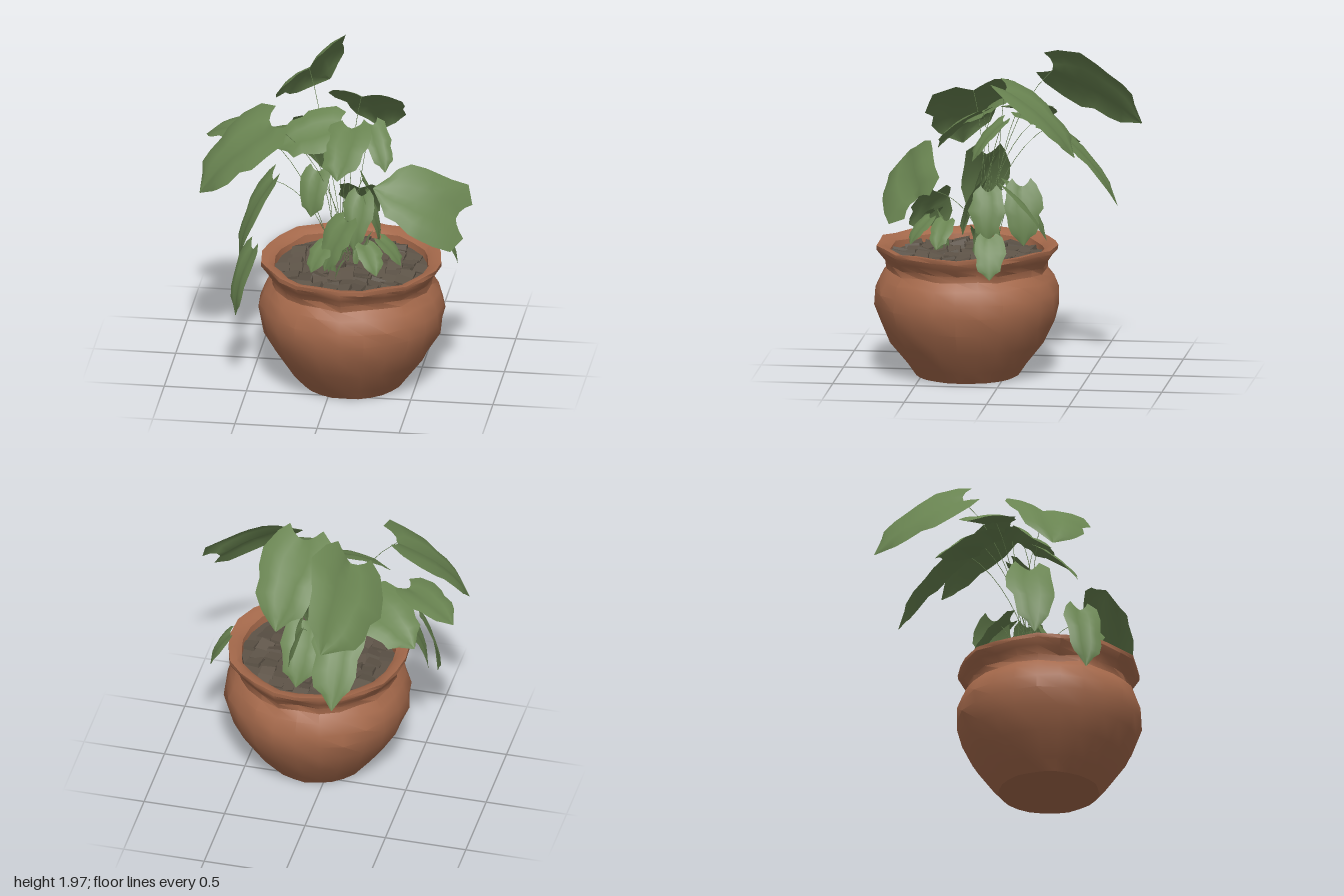
import * as THREE from 'three';
import { mergeVertices, mergeGeometries, toCreasedNormals } from 'three/addons/utils/BufferGeometryUtils.js';

const POT_X = 0.105, POT_Z = 0.235;
const V = (p) => new THREE.Vector3(...p);

function seeded(seed) {
  return () => {
    seed = (seed * 16807) % 2147483647;
    return seed / 2147483647;
  };
}

// Hand-thrown pot: a turned profile with slight dents
function potGeometry() {
  const profile = [
    [0, 0.01], [0.27, 0.01], [0.305, 0.005], [0.365, 0.08], [0.46, 0.21], [0.53, 0.34], [0.56, 0.45],
    [0.558, 0.53], [0.53, 0.61], [0.488, 0.66], [0.49, 0.7], [0.52, 0.745], [0.545, 0.785], [0.545, 0.81],
    [0.5, 0.805], [0.465, 0.78], [0.455, 0.7]
  ].map(([r, y]) => new THREE.Vector2(r, y));
  let geo = new THREE.LatheGeometry(profile, 24);
  const p = geo.attributes.position;
  for (let i = 0; i < p.count; i++) {
    const x = p.getX(i), y = p.getY(i), z = p.getZ(i), a = Math.atan2(z, x);
    const k = 1 + 0.009 * Math.sin(7 * a + 23 * y) + 0.009 * Math.sin(11 * a - 31 * y);
    const lift = y > 0.6 ? 0.008 * Math.sin(9 * a + 5 * y) : 0;
    p.setXYZ(i, x * k, y + lift, z * k);
  }
  geo.deleteAttribute('uv');
  geo.deleteAttribute('normal');
  geo = mergeVertices(geo, 1e-4);
  return toCreasedNormals(geo, 0.6);
}

// Bed of tilted clods laid in a loose grid
function soilGeometry() {
  const rnd = seeded(71), parts = [], step = 0.085;
  for (let i = -5; i <= 5; i++) {
    for (let j = -5; j <= 5; j++) {
      const x = (i + (rnd() - 0.5) * 0.3) * step, z = (j + (rnd() - 0.5) * 0.3) * step;
      if (Math.hypot(x, z) > 0.425) continue;
      const clod = new THREE.BoxGeometry(0.09, 0.04, 0.09);
      clod.rotateX((rnd() - 0.5) * 0.7);
      clod.rotateZ((rnd() - 0.5) * 0.7);
      clod.rotateY((rnd() - 0.5) * 0.5);
      clod.translate(x, 0.735, z);
      parts.push(clod);
    }
  }
  const bed = new THREE.CylinderGeometry(0.458, 0.458, 0.03, 24);
  bed.translate(0, 0.725, 0);
  parts.push(bed);
  return mergeGeometries(parts);
}

// Rows along a leaf: position, half width, how far the edge is swept
const LEAF_ROWS = [
  [0, 0.5, -0.14], [0.1, 0.84, -0.13], [0.24, 0.96, -0.06], [0.38, 1, 0], [0.5, 0.82, 0],
  [0.62, 0.78, 0.05], [0.74, 0.66, 0.06], [0.86, 0.4, 0], [1, 0.02, 0]
];
const COLS = 7;

// Lobed, arched leaf blade from base to tip, rolled about its own axis
function leafGeometry(base, tip, halfWidth, roll, seed) {
  const rnd = seeded(seed * 977 + 13);
  const axis = V(tip).sub(V(base)), along = axis.clone().normalize();
  const side = along.clone().cross(new THREE.Vector3(0, 1, 0)).normalize().applyAxisAngle(along, roll);
  const normal = side.clone().cross(along);
  const arch = 0.08 * axis.length();
  const pos = [], idx = [];
  for (const [t, w, sweep] of LEAF_ROWS) {
    const jag = [0.85 + rnd() * 0.25, 0.85 + rnd() * 0.25];
    for (let c = 0; c < COLS; c++) {
      const s = c / (COLS - 1) * 2 - 1, m = Math.abs(s);
      const v = V(base)
        .addScaledVector(axis, t + sweep * m * m)
        .addScaledVector(side, s * w * halfWidth * jag[s < 0 ? 0 : 1])
        .addScaledVector(normal, arch * 4 * t * (1 - t) + 0.4 * halfWidth * m * (1 - m) * w);
      pos.push(v.x, v.y, v.z);
    }
  }
  for (let r = 0; r < LEAF_ROWS.length - 1; r++) {
    for (let c = 0; c < COLS - 1; c++) {
      const a = r * COLS + c, b = a + COLS;
      idx.push(a, a + 1, b, b, a + 1, b + 1);
    }
  }
  const geo = new THREE.BufferGeometry();
  geo.setAttribute('position', new THREE.Float32BufferAttribute(pos, 3));
  geo.setIndex(idx);
  geo.computeVertexNormals();
  return geo;
}

// Base, tip, half width, roll
const CANOPY = [
  [[-0.22, 1.82, -0.24], [-0.17, 1.52, -0.79], 0.29, -0.8],
  [[0.13, 1.76, 0], [0.2, 1.37, -0.43], 0.23],
  [[-0.28, 1.47, -0.1], [-0.63, 1.3, -0.3], 0.2, 0.26],
  [[-0.52, 1.52, 0], [-0.83, 1.4, -0.14], 0.15, -0.13],
  [[-0.38, 1.65, 0.26], [-0.8, 1.24, 0.38], 0.28, -0.2],
  [[0.02, 1.6, 0.1], [-0.36, 1.48, 0.2], 0.18, -0.5],
  [[0.09, 1.61, 0.14], [0.04, 1.38, 0.42], 0.16, 0.1],
  [[0.2, 1.58, 0], [0.3, 1.35, 0.18], 0.09],
  [[0.77, 1.2, 0.46], [0.28, 1.41, 0.56], 0.25, -0.85]
];
const DROOPING = [
  [[-0.18, 1.48, -0.22], [-0.2, 1, -0.64], 0.17],
  [[-0.38, 1.26, 0.18], [-0.58, 0.76, 0.24], 0.15],
  [[-0.46, 0.94, 0.5], [-0.56, 0.52, 0.55], 0.12],
  [[-0.12, 1.3, 0.1], [-0.15, 1.04, 0.2], 0.1]
];
const LOW = [
  [[0.6, 0.94, 0.04], [0.72, 0.71, 0.02], 0.1],
  [[0.12, 1.16, 0], [0.12, 0.84, -0.25], 0.14],
  [[0.12, 1.17, -0.1], [0.2, 0.82, -0.12], 0.12],
  [[0.17, 1.14, 0.1], [0.25, 0.84, 0.1], 0.11],
  [[0.15, 1.17, 0.14], [0.12, 0.86, 0.26], 0.1],
  [[0.1, 1.12, 0.42], [-0.02, 0.84, 0.54], 0.13]
];

// Thin stalk rising from the soil and bending over to a leaf
function stalkGeometry(base, i) {
  const end = V(base), a = i * 2.4;
  const root = new THREE.Vector3(0.04 + 0.06 * Math.cos(a), 0.72, 0.13 + 0.06 * Math.sin(a));
  const bend = root.clone().lerp(end, 0.35);
  bend.y = root.y + (end.y - root.y) * 0.75 + 0.05;
  return new THREE.TubeGeometry(new THREE.QuadraticBezierCurve3(root, bend, end), 10, 0.002, 3);
}

export function createModel() {
  const model = new THREE.Group();
  const material = (name, color, side = THREE.FrontSide) => {
    const m = new THREE.MeshStandardMaterial({ color, side });
    m.name = name;
    return m;
  };
  const terracotta = material('terracotta', 0xa5694b, THREE.DoubleSide);
  const earth = material('earth', 0x5d5347);
  const green = material('leafGreen', 0x698451, THREE.DoubleSide);
  const add = (name, geo, mat, parent = model) => {
    const mesh = new THREE.Mesh(geo, mat);
    mesh.name = name;
    parent.add(mesh);
    return mesh;
  };

  add('pot', potGeometry(), terracotta).position.set(POT_X, 0, POT_Z);
  add('soil', soilGeometry(), earth).position.set(POT_X, 0, POT_Z);

  const plant = new THREE.Group();
  plant.name = 'plant';
  model.add(plant);
  const addLeaves = (name, list, seed) => list.forEach(([base, tip, halfWidth, roll = 0], i) => {
    add(name, leafGeometry(base, tip, halfWidth, roll, seed + i), green, plant);
    // Leaves spilling far over the rim carry no separate stalk
    if (Math.hypot(base[0], base[2]) < 0.55) add('stalk', stalkGeometry(base, seed + i), green, plant);
  });
  addLeaves('canopyLeaf', CANOPY, 1);
  addLeaves('droopingLeaf', DROOPING, 11);
  addLeaves('lowLeaf', LOW, 21);

  // Small leaves hanging outward near the soil
  for (const a of [0.3, 0.95, 2.2]) {
    const at = (r, y) => [0.1 + r * Math.cos(a), y, 0.28 + r * Math.sin(a)];
    add('smallLeaf', leafGeometry(at(0.2, 0.98), at(0.34, 0.83), 0.08, 0, Math.round(a * 20)), green, plant);
  }

  // Young shoots around the stalks
  const rnd = seeded(29);
  for (let i = 0; i < 8; i++) {
    const x = rnd() * 0.3, z = 0.05 + rnd() * 0.4, h = 0.12 + rnd() * 0.14, a = rnd() * 6.28;
    const tip = [x + Math.cos(a) * 0.06, 0.74 + h, z + Math.sin(a) * 0.06];
    add('shoot', leafGeometry([x, 0.74, z], tip, 0.03, 0, i + 40), green, plant);
  }
  return model;
}
